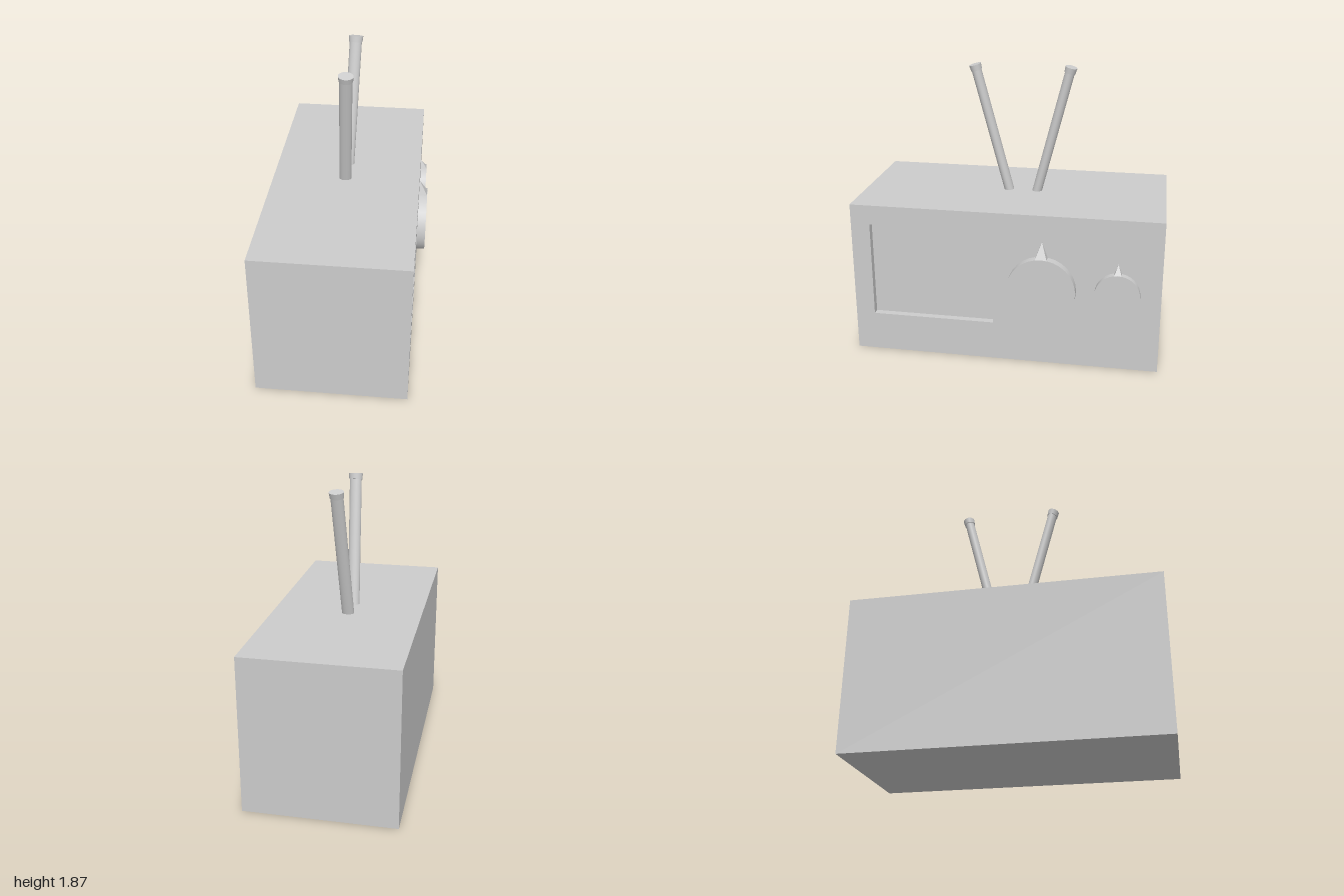
import * as THREE from 'three';
import { ConvexGeometry } from 'three/addons/geometries/ConvexGeometry.js';

const grey = new THREE.MeshStandardMaterial({ color: 0xcccccc });
grey.name = 'plain grey';

const FACE = 0.455; // x of the panel carrying screen and dials
const BACK = -0.515;
const RECESS = 0.045;
const HEIGHT = 1.023;

function part(name, geometry, parent) {
  const mesh = new THREE.Mesh(geometry, grey);
  mesh.name = name;
  parent.add(mesh);
  return mesh;
}

function rectangle(path, u0, v0, u1, v1) {
  path.moveTo(u0, v0);
  path.lineTo(u1, v0);
  path.lineTo(u1, v1);
  path.lineTo(u0, v1);
  path.closePath();
  return path;
}

// Round dial with a wedge pointer that slopes back to the panel
function dial(name, z, radius, depth, tipY, halfWidth, parent) {
  const y = 0.53;
  const group = new THREE.Group();
  group.name = name;
  group.position.set(FACE, y, z);
  const disc = new THREE.CylinderGeometry(radius, radius, depth, 32).rotateZ(-Math.PI / 2);
  part('dialDisc', disc.translate(depth / 2, 0, 0), group);
  const base = Math.sqrt(radius * radius - halfWidth * halfWidth);
  const corners = [new THREE.Vector3(0, tipY - y, 0)];
  for (const x of [0, depth]) {
    for (const side of [-1, 1]) corners.push(new THREE.Vector3(x, base, side * halfWidth));
  }
  part('dialPointer', new ConvexGeometry(corners), group);
  parent.add(group);
}

// Slightly oval rod with a wider tip, leaning from foot to top
function antenna(name, footZ, topZ, parent) {
  const foot = new THREE.Vector3(-0.037, HEIGHT, footZ);
  const top = new THREE.Vector3(-0.008, 1.863, topZ);
  const axis = top.clone().sub(foot);
  const length = axis.length();
  const tip = 0.038;
  const sunk = 0.03;
  const group = new THREE.Group();
  group.name = name;
  group.position.copy(foot);
  group.quaternion.setFromUnitVectors(new THREE.Vector3(0, 1, 0), axis.normalize());
  const rod = new THREE.CylinderGeometry(0.04, 0.04, length - tip + sunk, 24);
  part('antennaRod', rod.scale(1, 1, 0.79).translate(0, (length - tip - sunk) / 2, 0), group);
  const cap = new THREE.CylinderGeometry(0.047, 0.044, tip, 24);
  part('antennaTip', cap.scale(1, 1, 0.82).translate(0, length - tip / 2, 0), group);
  parent.add(group);
}

export function createModel() {
  const model = new THREE.Group();
  model.name = 'televisionSet';

  // Cabinet; its +x face is the sunken screen
  const depth = FACE - RECESS - BACK;
  const cabinet = new THREE.BoxGeometry(depth, HEIGHT, 2);
  part('cabinet', cabinet.translate(BACK + depth / 2, HEIGHT / 2, 0), model);

  // Front panel with the screen opening
  const panel = rectangle(new THREE.Shape(), -1, 0, 1, HEIGHT);
  panel.holes.push(rectangle(new THREE.Path(), -0.875, 0.26, -0.07, 0.895));
  const frame = new THREE.ExtrudeGeometry(panel, { depth: RECESS, bevelEnabled: false });
  part('screenPanel', frame.rotateY(Math.PI / 2).translate(FACE - RECESS, 0, 0), model);

  dial('largeDial', -0.246, 0.22, 0.057, 0.85, 0.037, model);
  dial('smallDial', -0.726, 0.143, 0.043, 0.733, 0.023, model);

  antenna('leftAntenna', 0.048, 0.265, model);
  antenna('rightAntenna', -0.143, -0.358, model);

  return model;
}
